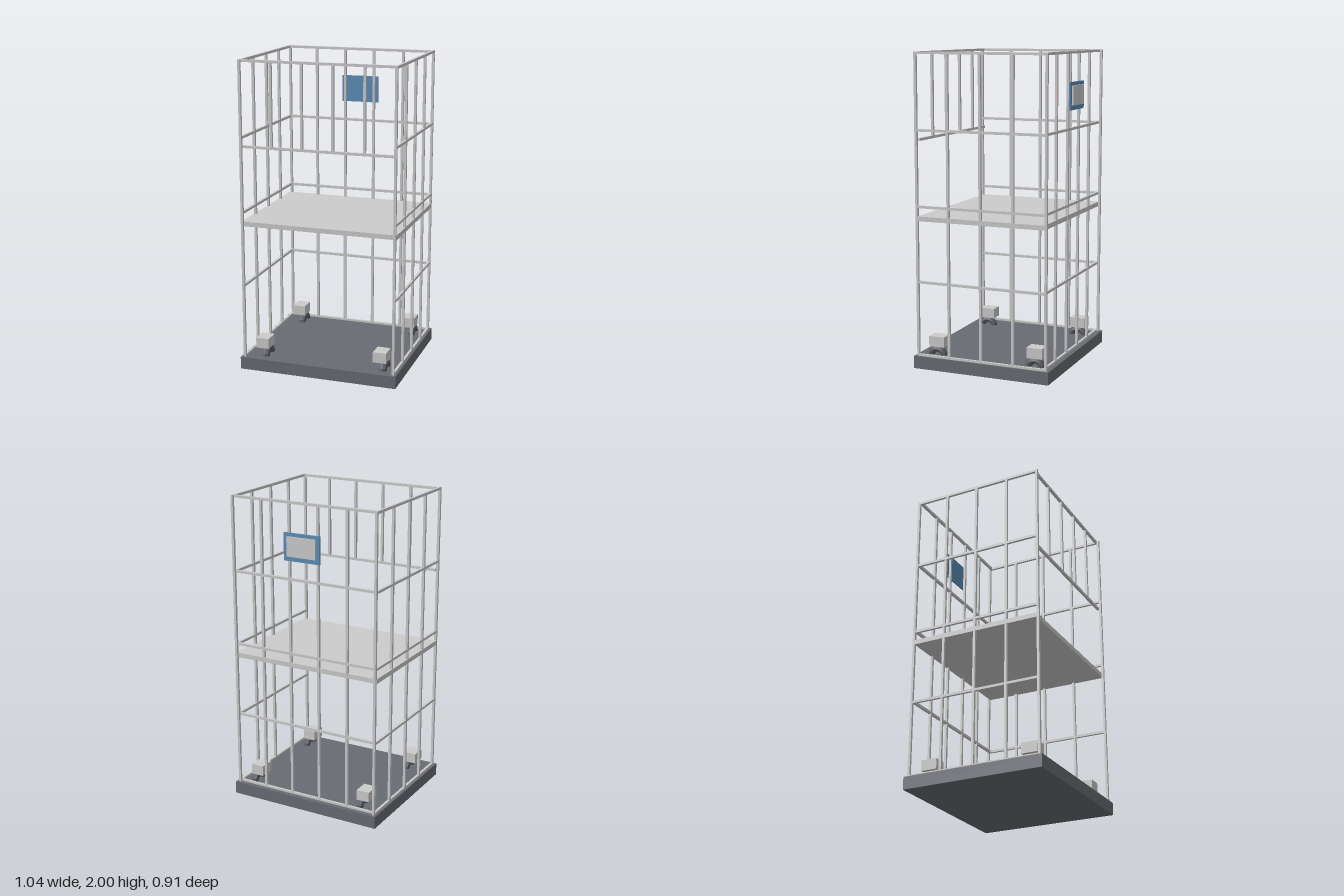
import * as THREE from 'three';

export function createModel() {
  const model = new THREE.Group();
  const mat = (color) => new THREE.MeshStandardMaterial({ color, flatShading: true });
  const grey = mat(0xcccccc), slate = mat(0x686b73), rubber = mat(0x5c5e64), blue = mat(0x5b8db8);

  const part = (name, parent = model) => {
    const g = new THREE.Group();
    g.name = name;
    parent.add(g);
    return g;
  };
  // Box given by its low and high corner
  const box = (name, parent, material, [x0, y0, z0], [x1, y1, z1]) => {
    const mesh = new THREE.Mesh(new THREE.BoxGeometry(x1 - x0, y1 - y0, z1 - z0), material);
    mesh.position.set((x0 + x1) / 2, (y0 + y1) / 2, (z0 + z1) / 2);
    mesh.name = name;
    parent.add(mesh);
    return mesh;
  };

  const t = 0.008; // half thickness of a bar
  const X = 0.498, Z = 0.432, ZP = 0.418, floor = 0.075, top = 2;
  const vertical = (parent, name, x, z, y0, y1) =>
    box(name, parent, grey, [x - t, y0, z - t], [x + t, y1, z + t]);
  const railX = (parent, y, z) =>
    box('crossRail', parent, grey, [-X + t, y - t, z - t], [X - t, y + t, z + t]);
  const railZ = (parent, y, x) =>
    box('sideRail', parent, grey, [x - t, y - t, -Z + t], [x + t, y + t, Z - t]);

  // Base platform and middle shelf
  box('base', model, slate, [-0.52, 0, -0.457], [0.52, 0.08, 0.457]);
  box('shelf', model, grey, [-0.508, 0.95, -0.425], [0.508, 0.98, 0.425]);

  // Corner posts
  const posts = part('cornerPosts');
  for (const x of [-X, X]) for (const z of [-Z, Z]) vertical(posts, 'post', x, z, floor, top);

  // Side walls
  const levels = [0.085, 0.56, 1.04, 1.518, top - t];
  for (const s of [-1, 1]) {
    const side = part(s > 0 ? 'leftWall' : 'rightWall');
    for (const y of levels) railZ(side, y, s * X);
    for (const z of [-0.217, 0, 0.217]) vertical(side, 'sideBar', s * X, z, floor, top);
  }

  // Back wall over the full height, front panel only along the top
  const back = part('backWall');
  const front = part('frontPanel');
  for (const y of levels) railX(back, y, -ZP);
  for (const y of [1.46, top - t]) railX(front, y, ZP);
  for (const x of [-0.3, -0.1, 0.1, 0.3]) {
    vertical(back, 'backBar', x, -ZP, floor, top);
    vertical(front, 'frontBar', x, ZP, 1.46, top);
  }

  // Sign plate on the back
  const sign = part('signPlate');
  box('plateFrame', sign, blue, [-0.125, 1.638, -0.443], [0.125, 1.812, -0.433]);
  box('platePanel', sign, grey, [-0.1, 1.667, -0.453], [0.1, 1.79, -0.443]);

  // Casters: mounting block with a wheel ring sunk into the base
  for (const x of [-0.395, 0.395]) for (const z of [-0.333, 0.337]) {
    const caster = part('caster');
    box('casterBlock', caster, grey, [x - 0.043, 0.13, z - 0.052], [x + 0.043, 0.197, z + 0.052]);
    const wheel = new THREE.Mesh(new THREE.TorusGeometry(0.045, 0.024, 8, 16), rubber);
    wheel.rotation.y = Math.PI / 2;
    wheel.position.set(x + 0.024, 0.072, z);
    wheel.name = 'casterWheel';
    caster.add(wheel);
  }
  return model;
}
